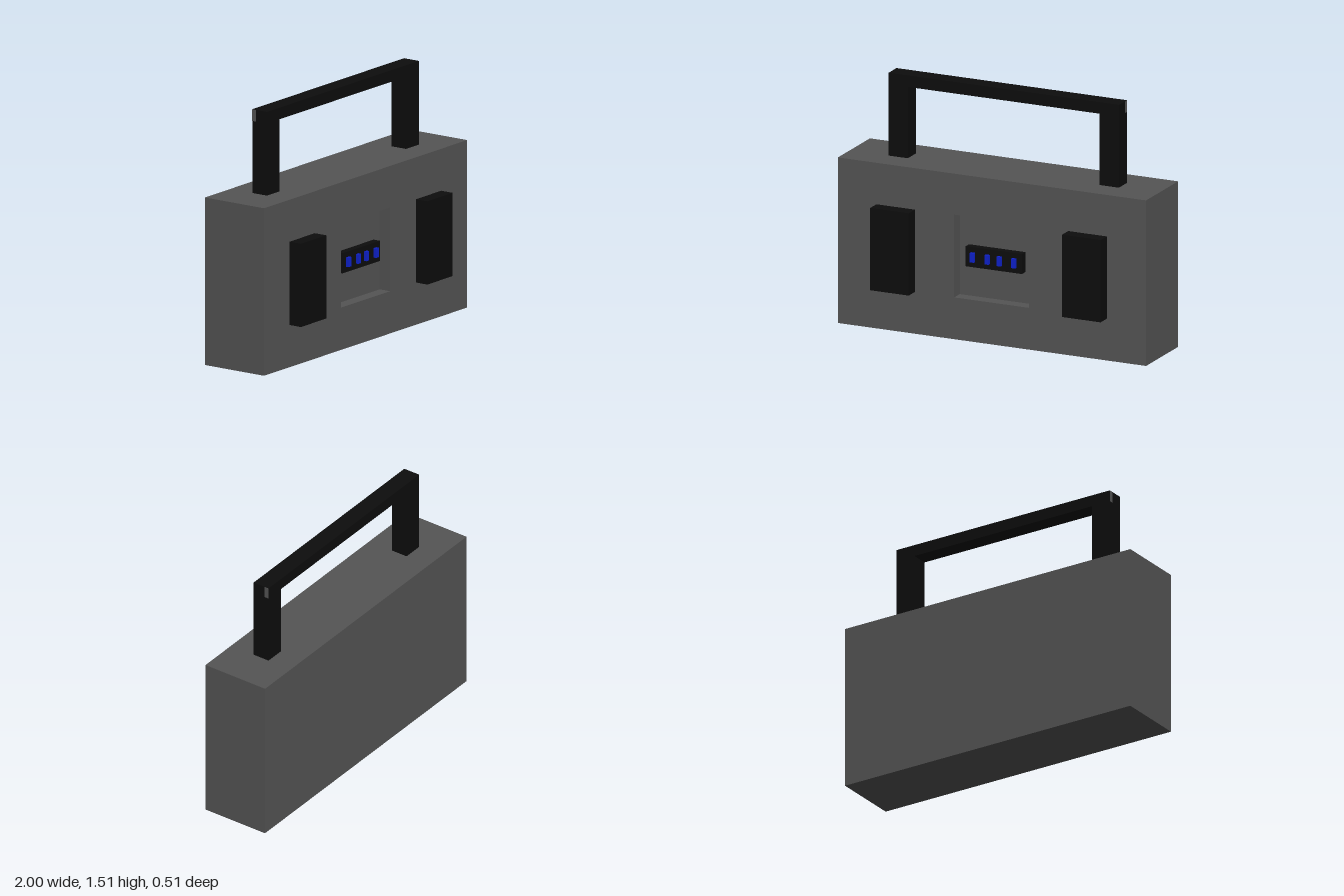
import * as THREE from 'three';

const material = (color) => new THREE.MeshStandardMaterial({ color });

// Box given by its min and max corners
function box(name, mat, [x0, y0, z0], [x1, y1, z1]) {
  const mesh = new THREE.Mesh(new THREE.BoxGeometry(x1 - x0, y1 - y0, z1 - z0), mat);
  mesh.position.set((x0 + x1) / 2, (y0 + y1) / 2, (z0 + z1) / 2);
  mesh.name = name;
  return mesh;
}

const corners = (x0, y0, x1, y1) =>
  [[x0, y0], [x1, y0], [x1, y1], [x0, y1]].map(([x, y]) => new THREE.Vector2(x, y));

// Outline in the xy plane pushed from z0 to z1
function slab(name, mat, shape, z0, z1) {
  const geometry = new THREE.ExtrudeGeometry(shape, { depth: z1 - z0, bevelEnabled: false });
  geometry.translate(0, 0, z0);
  const mesh = new THREE.Mesh(geometry, mat);
  mesh.name = name;
  return mesh;
}

export function createModel() {
  const model = new THREE.Group();
  model.name = 'portableStereo';
  const grey = material(0x555555);
  const black = material(0x0d0d0d);
  const blue = material(0x0f22d0);

  const top = 1.01, back = -0.255, front = 0.175, recess = 0.1;

  // Body: solid rear, front plate with a square recess
  const body = new THREE.Group();
  body.name = 'body';
  const plate = new THREE.Shape(corners(-1, 0, 1, top));
  plate.holes.push(new THREE.Path(corners(-0.245, 0.255, 0.24, 0.76).reverse()));
  body.add(
    box('rearCase', grey, [-1, 0, back], [1, top, recess]),
    slab('frontPlate', grey, plate, recess, front),
  );
  model.add(body);

  // Speakers
  model.add(
    box('rightSpeaker', black, [-0.75, 0.255, front], [-0.5, 0.757, 0.258]),
    box('leftSpeaker', black, [0.495, 0.255, front], [0.745, 0.757, 0.258]),
  );

  // Control strip inside the recess, with four buttons
  model.add(box('controlStrip', black, [-0.185, 0.445, recess], [0.18, 0.567, 0.145]));
  for (const x of [-0.137, -0.042, 0.037, 0.132]) {
    model.add(box('button', blue, [x - 0.0135, 0.478, 0.145], [x + 0.0135, 0.535, 0.163]));
  }

  // Carrying handle: two posts joined by a bar
  const arch = new THREE.Shape([
    [-0.75, top], [-0.625, top], [-0.625, 1.445], [0.62, 1.445],
    [0.62, top], [0.745, top], [0.745, 1.515], [-0.75, 1.515],
  ].map(([x, y]) => new THREE.Vector2(x, y)));
  model.add(slab('handle', black, arch, -0.095, 0.012));

  // Small grey inlays on the handle ends
  for (const [name, x] of [['rightInlay', -0.75], ['leftInlay', 0.745]]) {
    model.add(box(name, grey, [x - 0.002, 1.445, -0.094], [x + 0.002, 1.514, -0.067]));
  }
  return model;
}
